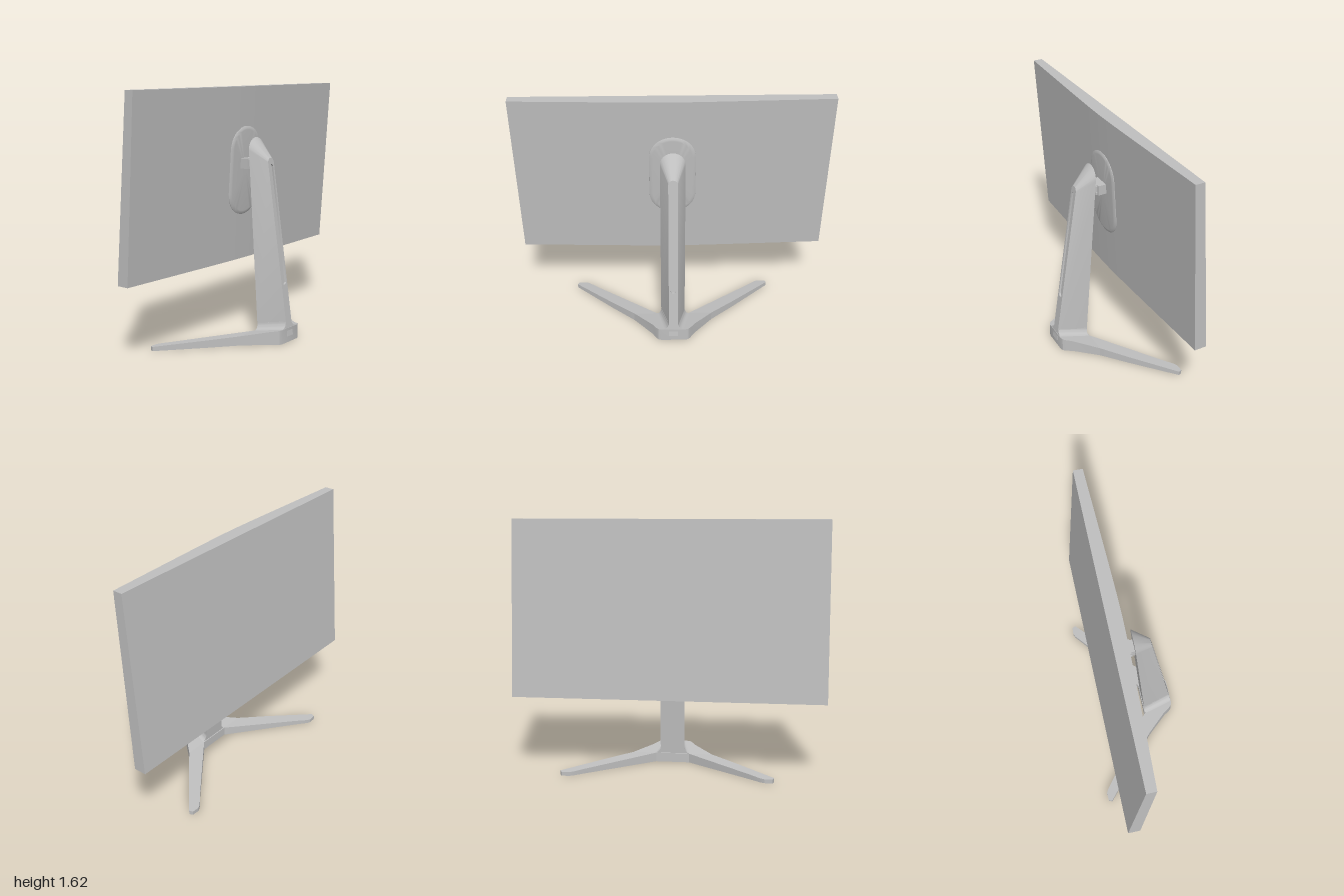
import * as THREE from 'three';
import { toCreasedNormals } from 'three/addons/utils/BufferGeometryUtils.js';

// Skin a list of equal-length loops and close both ends with fans
function loft(loops, crease = 0.5) {
  const n = loops[0].length, pos = [];
  const tri = (a, b, c) => pos.push(...a, ...b, ...c);
  const centre = (l) => [0, 1, 2].map((k) => l.reduce((s, p) => s + p[k], 0) / n);
  const first = loops[0], last = loops[loops.length - 1];
  const c0 = centre(first), c1 = centre(last);
  for (let j = 0; j < n; j++) {
    const k = (j + 1) % n;
    for (let i = 0; i + 1 < loops.length; i++) {
      const a = loops[i][j], b = loops[i][k], c = loops[i + 1][k], d = loops[i + 1][j];
      tri(a, b, d);
      tri(b, c, d);
    }
    tri(c0, first[k], first[j]);
    tri(c1, last[j], last[k]);
  }
  const g = new THREE.BufferGeometry();
  g.setAttribute('position', new THREE.Float32BufferAttribute(pos, 3));
  g.computeVertexNormals();
  return toCreasedNormals(g, crease);
}

// Upright slot outline with a round top and a round or square bottom; z follows y
function slot(w, top, bottom, roundBottom, zAt) {
  const pts = [], N = 20;
  for (let i = 0; i <= N; i++) {
    const a = (i / N) * Math.PI;
    pts.push([w * Math.cos(a), top - w + w * Math.sin(a)]);
  }
  for (let i = 0; i <= N; i++) {
    const a = Math.PI + (i / N) * Math.PI;
    pts.push([w * Math.cos(a), roundBottom ? bottom + w + w * Math.sin(a) : bottom]);
  }
  return pts.map(([x, y]) => [x, y, zAt(x, y)]);
}

export function createModel() {
  const model = new THREE.Group();
  const grey = new THREE.MeshStandardMaterial({ color: 0xbfbfbf });
  grey.name = 'grey';
  const add = (name, geometry) => {
    const m = new THREE.Mesh(geometry, grey);
    m.name = name;
    model.add(m);
    return m;
  };

  // Tilted panel with a gently bowed casing
  const top = 1.62, bottom = 0.49;
  const casingZ = (x, y) => {
    const t = (top - y) / (top - bottom);
    return -0.037 - 0.078 * t - 0.03 * (Math.sqrt(x * x + 0.03) - 0.173) / 0.842;
  };
  const panelLoop = (y, zScreen) => {
    const l = [];
    for (let i = 0; i <= 24; i++) {
      const x = -1 + i / 12;
      l.push([x, y, casingZ(x, y)]);
    }
    l.push([1, y, zScreen], [-1, y, zScreen]);
    return l;
  };
  add('panel', loft([panelLoop(bottom, -0.225), panelLoop(top, -0.127)]));

  // Raised mounting plate with a bevelled rim
  const plateZ = (lift) => (x, y) => casingZ(0, y) + lift;
  add('mountPlate', loft([
    slot(0.15, 1.37, 0.79, true, plateZ(-0.01)),
    slot(0.148, 1.368, 0.792, true, plateZ(0.001)),
    slot(0.135, 1.355, 0.805, true, plateZ(0.008)),
    slot(0.125, 1.345, 0.815, true, plateZ(0.009)),
  ], 0.7));

  // Hinge between stem and plate
  const box = (name, w, h, d, x, y, z) =>
    add(name, new THREE.BoxGeometry(w, h, d)).position.set(x, y, z);
  box('hingeBlock', 0.11, 0.066, 0.07, 0, 1.131, -0.042);
  box('hingeNeck', 0.08, 0.066, 0.07, 0, 1.131, 0.026);
  for (const y of [1.109, 1.153])
    box('hingePin', 0.096, 0.015, 0.014, 0, y, 0.002);

  // Stem: wide at the back, narrowing to a ridge with a sunken slot
  const backZ = (x, y) => 0.02 + ((1.3 - y) / 1.24) * 0.075;
  const ridgeZ = (x, y) => 0.135 + ((1.175 - y) / 1.085) * 0.155;
  const floorZ = (x, y) => ridgeZ(x, y) - 0.012;
  add('stem', loft([
    slot(0.08, 1.3, 0.04, false, backZ),
    slot(0.03, 1.175, 0.04, false, ridgeZ),
    slot(0.018, 1.135, 0.37, true, ridgeZ),
    slot(0.018, 1.135, 0.37, true, floorZ),
  ]));

  // Base top falls from front to back
  const hubTop = (z) => 0.06 + ((z - 0.09) / 0.2) * 0.033;
  const legTop = (z) => 0.06 + ((z - 0.09) / 0.385) * 0.035;
  const prism = (outline, topAt) => loft([
    outline.map(([x, z]) => [x, 0, z]),
    outline.map(([x, z]) => [x, topAt(z), z]),
  ], 0.4);
  const mirror = (pts) => pts.map(([x, z]) => [-x, z]).reverse();

  const hubSide = [[0.08, 0.292], [0.1, 0.286], [0.115, 0.27], [0.14, 0.23], [0.265, 0.09]];
  add('baseHub', prism([...hubSide, ...mirror(hubSide)], hubTop));

  const leg = [[0.265, 0.09], [0.42, -0.04], [0.68, -0.27], [0.67, -0.293],
    [0.62, -0.295], [0.595, -0.283], [0.53, -0.23], [0.11, 0.09]];
  add('leftLeg', prism(leg, legTop));
  add('rightLeg', prism(mirror(leg), legTop));

  // Fillet where the stem meets the base
  const fillet = [], r = 0.045;
  for (let i = 0; i <= 8; i++) {
    const a = (i / 8) * Math.PI / 2;
    const d = r * (1 - Math.sin(a)), h = r * (1 - Math.cos(a));
    const side = [[0.03 + d, 0.285], [0.08 + d * 0.8, 0.093]];
    fillet.push([...side, ...mirror(side)].map(([x, z]) => {
      const y = hubTop(z) + h;
      return [x, y, z > 0.2 ? ridgeZ(0, y) - 0.001 : backZ(0, y) + 0.001];
    }));
  }
  add('stemFillet', loft(fillet, 0.6));

  return model;
}
